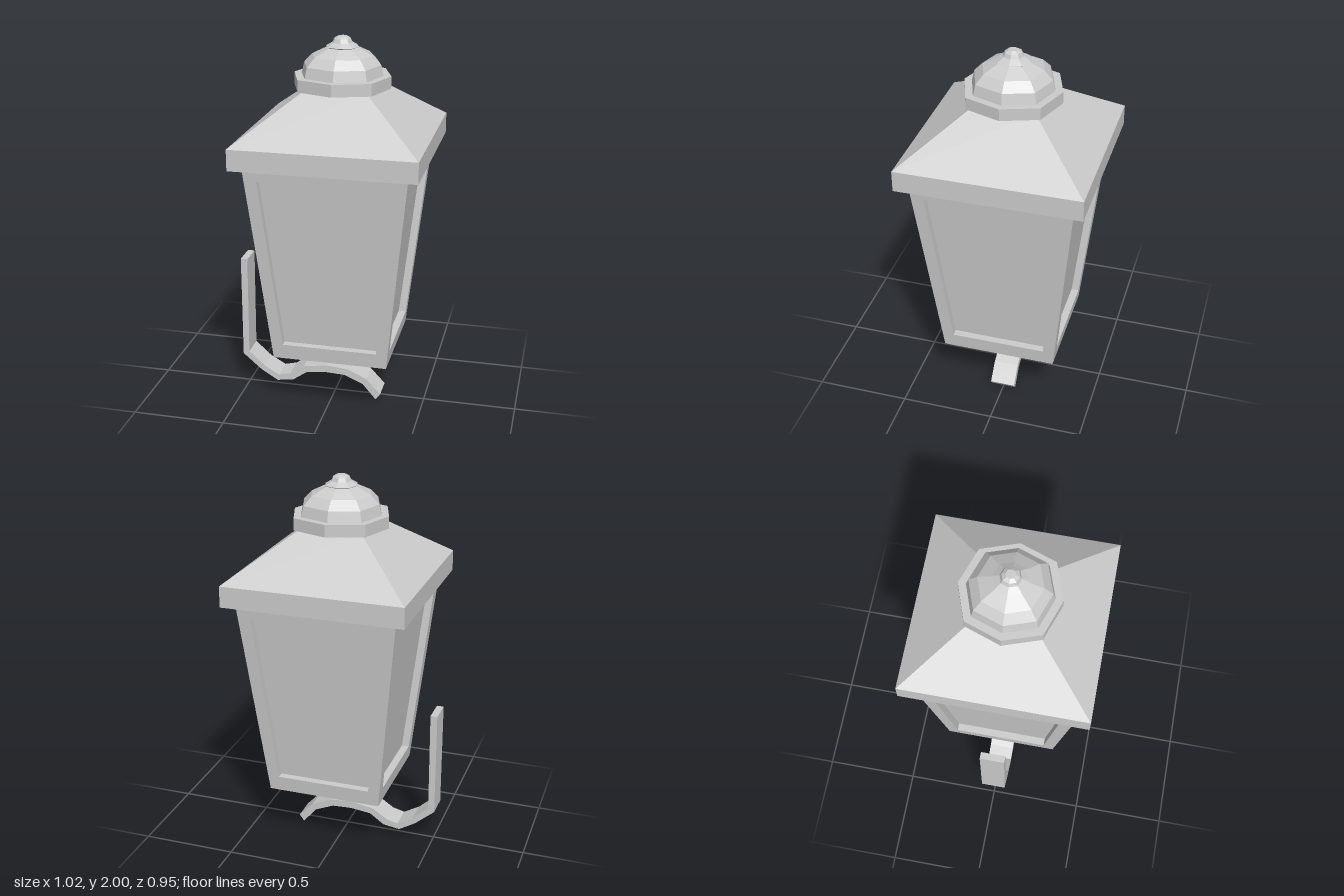
import * as THREE from 'three';

const grey = new THREE.MeshStandardMaterial({ color: 0xcccccc, flatShading: true });

function addMesh(parent, name, geometry) {
  const mesh = new THREE.Mesh(geometry, grey);
  mesh.name = name;
  parent.add(mesh);
  return mesh;
}

// Eight-sided turned part whose diagonal corners sit slightly further out
function octagonalLathe(profile) {
  const geo = new THREE.LatheGeometry(profile.map(([r, y]) => new THREE.Vector2(r, y)), 8);
  const p = geo.attributes.position;
  for (let i = 0; i < p.count; i++) {
    const x = p.getX(i), z = p.getZ(i);
    if (Math.abs(x) > 1e-4 && Math.abs(z) > 1e-4) p.setXYZ(i, x * 1.05, p.getY(i), z * 1.05);
  }
  geo.computeVertexNormals();
  return geo;
}

// Square frustum from half-width a at y0 to half-width b at y1
function squareFrustum(a, b, y0, y1) {
  return new THREE.CylinderGeometry(b * Math.SQRT2, a * Math.SQRT2, y1 - y0, 4)
    .rotateY(Math.PI / 4)
    .translate(0, (y0 + y1) / 2, 0);
}

const BODY = { y0: 0.32, y1: 1.405, a: 0.304, b: 0.418 };
const faceZ = y => BODY.a + (BODY.b - BODY.a) * (y - BODY.y0) / (BODY.y1 - BODY.y0);

// Four corners of a trapezoid on the +z body face, pushed in by depth
function trapezoid(a, b, y0, y1, depth) {
  return [[-a, y0], [a, y0], [b, y1], [-b, y1]].map(([x, y]) => [x, y, faceZ(y) - depth]);
}

function quads(list) {
  const pos = [];
  for (const [a, b, c, d] of list) pos.push(...a, ...b, ...c, ...a, ...c, ...d);
  const geo = new THREE.BufferGeometry();
  geo.setAttribute('position', new THREE.Float32BufferAttribute(pos, 3));
  geo.computeVertexNormals();
  return geo;
}

// Strip of quads joining one loop to the next
const ring = (outer, inner) => outer.map((p, i) => {
  const j = (i + 1) % outer.length;
  return [p, outer[j], inner[j], inner[i]];
});

export function createModel() {
  const model = new THREE.Group();
  model.name = 'wallLantern';
  const lantern = new THREE.Group();
  lantern.name = 'lantern';
  lantern.position.x = 0.035;
  model.add(lantern);

  // Tapered body: a frame and a recessed pane on each side
  const outer = trapezoid(BODY.a, BODY.b, BODY.y0, BODY.y1, 0);
  const opening = trapezoid(0.251, 0.344, 0.403, 1.333, 0);
  const recess = trapezoid(0.251, 0.344, 0.403, 1.333, 0.04);
  const frameGeo = quads([...ring(outer, opening), ...ring(opening, recess)]);
  const paneGeo = quads([recess]);
  for (let i = 0; i < 4; i++) {
    const side = new THREE.Group();
    side.name = 'bodySide';
    side.rotation.y = i * Math.PI / 2;
    addMesh(side, 'frame', frameGeo);
    addMesh(side, 'pane', paneGeo);
    lantern.add(side);
  }
  const floor = new THREE.PlaneGeometry(2 * BODY.a, 2 * BODY.a).rotateX(Math.PI / 2);
  addMesh(lantern, 'bodyFloor', floor).position.y = BODY.y0;

  // Eave and hipped roof
  addMesh(lantern, 'eave', new THREE.BoxGeometry(0.95, 0.11, 0.95)).position.y = 1.455;
  addMesh(lantern, 'roof', squareFrustum(0.475, 0.155, 1.51, 1.75));

  // Collar, dome and knob on the roof
  addMesh(lantern, 'collar', octagonalLathe([[0, 1.742], [0.252, 1.742], [0.252, 1.805], [0, 1.805]]));
  addMesh(lantern, 'dome', octagonalLathe(
    [[0.213, 1.805], [0.2, 1.86], [0.157, 1.905], [0.08, 1.943], [0, 1.943]]));
  addMesh(lantern, 'knob', octagonalLathe(
    [[0, 1.94], [0.07, 1.94], [0.085, 1.948], [0.052, 1.968], [0.043, 1.988], [0.024, 2], [0, 2]]));

  // Bent strap bracket: upper edge out, lower edge back
  const strap = new THREE.Shape([
    [-0.478, 0.77], [-0.481, 0.214], [-0.394, 0.135], [-0.31, 0.087], [-0.246, 0.103],
    [-0.167, 0.156], [-0.04, 0.177], [0.082, 0.167], [0.188, 0.119], [0.267, 0.034],
    [0.241, 0], [0.167, 0.087], [0.066, 0.13], [-0.04, 0.135], [-0.151, 0.122],
    [-0.23, 0.066], [-0.32, 0.053], [-0.41, 0.108], [-0.515, 0.198], [-0.515, 0.77],
  ].map(([x, y]) => new THREE.Vector2(x, y)));
  const strapGeo = new THREE.ExtrudeGeometry(strap, { depth: 0.134, bevelEnabled: false });
  addMesh(model, 'bracket', strapGeo.translate(0, 0, -0.067));

  return model;
}
